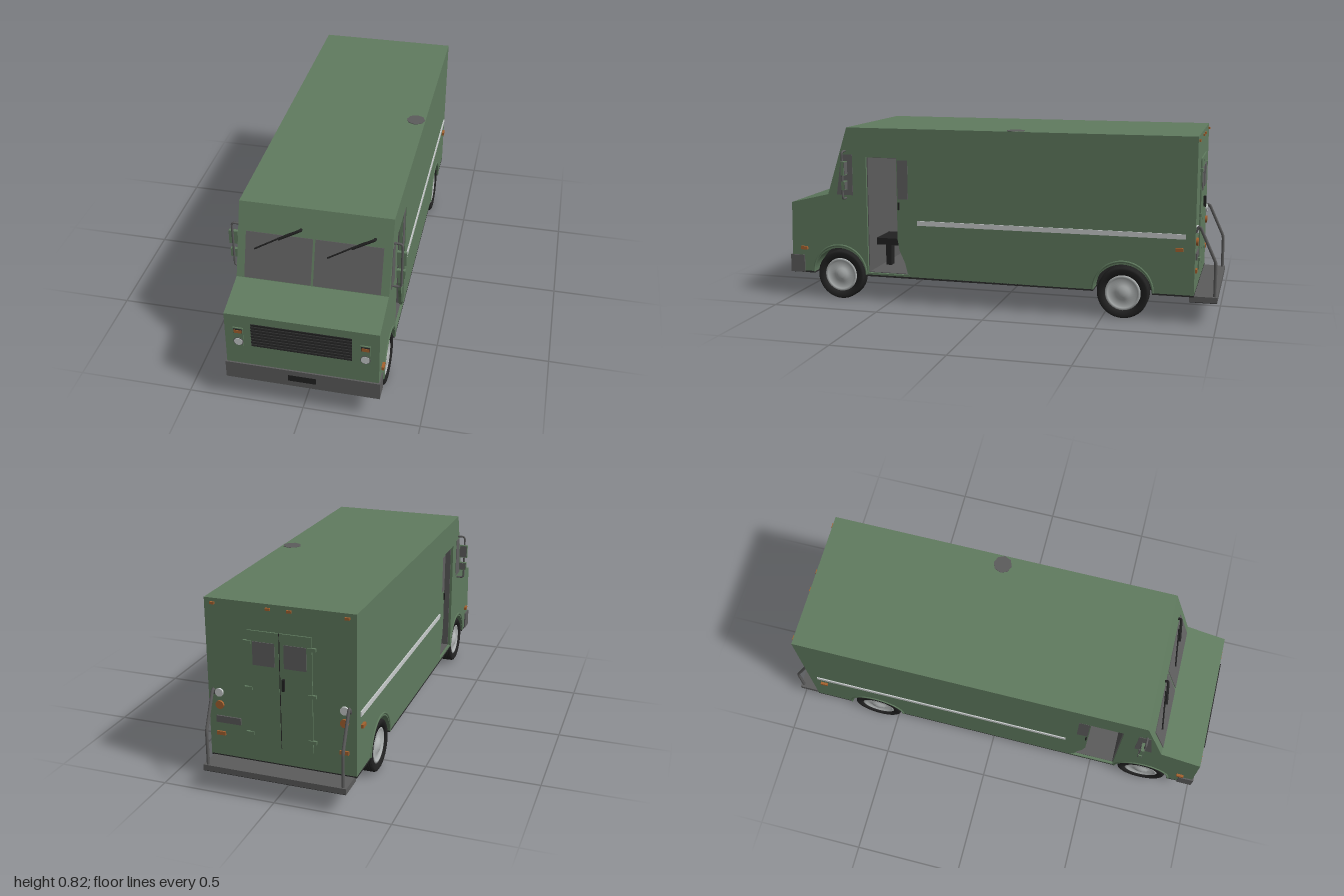
import * as THREE from 'three';

const mat = (name, color) => {
  const m = new THREE.MeshStandardMaterial({ color });
  m.name = name;
  return m;
};

export function createModel() {
  const root = new THREE.Group();
  root.name = 'stepVan';
  const green = mat('bodyGreen', 0x607b5f), gray = mat('trimGray', 0x5c5c5c), glass = mat('windowGray', 0x606060);
  const dark = mat('undersideDark', 0x2b2b2b), black = mat('rubberBlack', 0x222222);
  const silver = mat('hubSilver', 0xb4b8b8), orange = mat('lampOrange', 0xa5622f), light = mat('lampLight', 0xc8cccc);

  const add = (name, geo, m, parent = root) => {
    const mesh = new THREE.Mesh(geo, m);
    mesh.name = name;
    parent.add(mesh);
    return mesh;
  };
  // Box given by its min and max on each axis
  const box = (name, m, x0, x1, y0, y1, z0, z1, parent = root) => {
    const mesh = add(name, new THREE.BoxGeometry(x1 - x0, y1 - y0, z1 - z0), m, parent);
    mesh.position.set((x0 + x1) / 2, (y0 + y1) / 2, (z0 + z1) / 2);
    return mesh;
  };
  // Side outline in (z, y), extruded from x0 to x1
  const sideExtrude = (shape, x0, x1) =>
    new THREE.ExtrudeGeometry(shape, { depth: x1 - x0, bevelEnabled: false, curveSegments: 20 })
      .rotateY(-Math.PI / 2).translate(x1, 0, 0);
  const poly = pts => new THREE.Shape(pts.map(p => new THREE.Vector2(...p)));
  const tube = (name, pts, r, m, parent = root) => {
    const path = new THREE.CurvePath();
    const v = pts.map(p => new THREE.Vector3(...p));
    for (let i = 1; i < v.length; i++) {
      const a = i > 1 ? v[i - 1].clone().lerp(v[i], Math.min(0.3, 0.015 / v[i].distanceTo(v[i - 1]))) : v[0];
      const last = i === v.length - 1;
      const b = last ? v[i] : v[i].clone().lerp(v[i - 1], Math.min(0.3, 0.015 / v[i].distanceTo(v[i - 1])));
      path.add(new THREE.LineCurve3(a, b));
      if (!last) {
        const c = v[i].clone().lerp(v[i + 1], Math.min(0.3, 0.015 / v[i].distanceTo(v[i + 1])));
        path.add(new THREE.QuadraticBezierCurve3(b, v[i], c));
      }
    }
    return add(name, new THREE.TubeGeometry(path, 48, r, 8), m, parent);
  };
  const disc = (name, m, r, depth, x, y, z) => {
    const d = add(name, new THREE.CylinderGeometry(r, r, depth, 20).rotateX(Math.PI / 2), m);
    d.position.set(x, y, z);
  };

  const W = 0.322, AXLES = [-0.59, 0.75], AY = 0.115, AR = 0.13, A0 = 0.077;

  // Body shell with wheel arches and a doorway through the cab
  const shape = new THREE.Shape();
  shape.moveTo(-0.9, 0.125);
  for (const z of AXLES) {
    shape.lineTo(z - AR * Math.cos(A0), 0.125);
    shape.absarc(z, AY, AR, Math.PI - A0, A0, true);
  }
  [[0.995, 0.125], [0.987, 0.455], [0.8, 0.5], [0.7, 0.815], [-0.9, 0.815]].forEach(p => shape.lineTo(...p));
  shape.closePath();
  shape.holes.push(new THREE.Path([[0.402, 0.135], [0.402, 0.68], [0.608, 0.68], [0.608, 0.135]]
    .map(p => new THREE.Vector2(...p))));
  add('body', sideExtrude(shape, -W, W), green);

  // Cab lining
  box('cabRearWall', gray, -0.31, 0.31, 0.135, 0.68, 0.401, 0.406);
  box('cabFrontWall', gray, -0.31, 0.31, 0.135, 0.68, 0.604, 0.609);
  box('cabFloor', gray, -0.31, 0.31, 0.134, 0.138, 0.402, 0.608);
  box('cabCeiling', gray, -0.31, 0.31, 0.677, 0.681, 0.402, 0.608);
  // Driver seat
  box('seatCushion', black, 0.06, 0.22, 0.25, 0.282, 0.49, 0.604);
  const back = box('seatBack', gray, 0.06, 0.22, 0.27, 0.46, 0.46, 0.48);
  back.rotation.x = -0.12;
  box('seatPost', black, 0.12, 0.16, 0.138, 0.25, 0.555, 0.582);

  // Underside and wheel wells
  [[-0.9, -0.72], [-0.46, 0.62], [0.88, 0.985]].forEach(([a, b]) => box('underside', dark, -W, W, 0.118, 0.126, a, b));
  AXLES.forEach(z => box('wheelWell', dark, -0.245, 0.245, 0.118, 0.25, z - 0.135, z + 0.135));

  // Wheels
  const tyre = [[0.08, -0.026], [0.105, -0.032], [0.113, -0.026]];
  for (let i = -2; i <= 2; i++) tyre.push([0.115, i * 0.01 - 0.003], [0.115, i * 0.01 + 0.003], [0.111, i * 0.01 + 0.004], [0.111, i * 0.01 + 0.006]);
  tyre.push([0.113, 0.027], [0.105, 0.032], [0.08, 0.026], [0.078, -0.02], [0.08, -0.026]);
  const tyreGeo = new THREE.LatheGeometry(tyre.map(p => new THREE.Vector2(...p)), 40);
  const hubGeo = new THREE.LatheGeometry([[0, -0.02], [0.079, -0.02], [0.079, 0.024], [0.068, 0.026], [0.062, 0.016],
    [0.034, 0.02], [0.03, 0.026], [0.018, 0.026], [0.016, 0.03], [0, 0.03]].map(p => new THREE.Vector2(...p)), 32);
  for (const s of [-1, 1]) for (const z of AXLES) {
    const wheel = new THREE.Group();
    wheel.name = 'wheel';
    wheel.position.set(s * 0.288, AY, z);
    wheel.rotation.z = -s * Math.PI / 2;
    add('tyre', tyreGeo, black, wheel);
    add('hub', hubGeo, silver, wheel);
    root.add(wheel);
    // Arch lip
    const lip = add('archLip', new THREE.TorusGeometry(0.133, 0.005, 6, 28, Math.PI).rotateY(Math.PI / 2), green);
    lip.position.set(s * W, AY + 0.01, z);
  }

  // Sloping windshield, wipers on the same plane
  const screen = new THREE.Group();
  screen.name = 'windshield';
  screen.position.set(0, 0.5, 0.8);
  screen.rotation.x = -Math.atan2(0.1, 0.315);
  root.add(screen);
  for (const s of [-1, 1]) {
    box('windshieldPane', glass, s > 0 ? 0.005 : -0.288, s > 0 ? 0.288 : -0.005, 0.003, 0.205, -0.002, 0.003, screen);
    const x = s > 0 ? 0.25 : -0.056;
    tube('wiperArm', [[x, 0.24, 0.004], [x, 0.24, 0.018], [x - 0.09, 0.193, 0.02]], 0.006, black, screen);
    tube('wiperBlade', [[x - 0.04, 0.222, 0.012], [x - 0.19, 0.136, 0.012]], 0.0035, black, screen);
  }

  // Front grille, headlamps and bumper
  box('grille', black, -0.21, 0.21, 0.303, 0.418, 0.98, 0.992);
  for (let i = 0; i < 7; i++) box('grilleBar', dark, -0.21, 0.21, 0.309 + i * 0.0155, 0.317 + i * 0.0155, 0.988, 0.997);
  box('bumper', gray, -0.328, 0.328, 0.12, 0.203, 0.93, 1);
  box('platePanel', black, -0.06, 0.06, 0.147, 0.178, 0.99, 1.003).position.z = 0.994;
  for (const s of [-1, 1]) {
    const cx = s * 0.265;
    box('lampBezel', green, cx - 0.021, cx + 0.021, 0.297, 0.392, 0.98, 0.994);
    box('lampRecess', dark, cx - 0.018, cx + 0.018, 0.366, 0.388, 0.985, 0.995);
    box('turnSignal', orange, cx - 0.016, cx + 0.016, 0.367, 0.382, 0.985, 0.997);
    disc('headlampRing', gray, 0.021, 0.01, cx, 0.321, 0.99);
    disc('headlamp', light, 0.018, 0.01, cx, 0.321, 0.992);
  }

  // Paired side details
  for (const s of [-1, 1]) {
    const span = (a, b) => s > 0 ? [a, b] : [-b, -a];
    box('sideStripe', light, ...span(0.32, 0.327), 0.372, 0.394, -0.86, 0.36);
    box('frontMarker', orange, ...span(0.32, 0.333), 0.231, 0.246, 0.912, 0.945);
    box('rearMarker', orange, ...span(0.32, 0.333), 0.318, 0.333, -0.85, -0.817);
    add('quarterWindow', sideExtrude(poly([[0.675, 0.5], [0.755, 0.5], [0.728, 0.69], [0.675, 0.69]]), ...span(0.319, 0.324)), glass);
    // Folded door panel with its window
    add('doorPanel', sideExtrude(poly([[0.402, 0.136], [0.412, 0.136], [0.425, 0.19], [0.452, 0.25], [0.46, 0.3], [0.46, 0.679], [0.402, 0.679]]),
      ...span(0.304, 0.318)), green);
    box('doorWindow', glass, ...span(0.303, 0.32), 0.49, 0.67, 0.406, 0.456);
    box('doorHandle', black, ...span(0.316, 0.325), 0.44, 0.475, 0.448, 0.455);
    // Mirror frame with two mirrors
    tube('mirrorArm', [[s * 0.315, 0.706, 0.71], [s * 0.358, 0.706, 0.71], [s * 0.358, 0.486, 0.71], [s * 0.315, 0.486, 0.71]], 0.005, gray);
    box('upperMirror', green, ...span(0.336, 0.375), 0.598, 0.662, 0.695, 0.71);
    box('lowerMirror', green, ...span(0.336, 0.372), 0.53, 0.57, 0.695, 0.71);
    box('mirrorFace', glass, ...span(0.339, 0.372), 0.602, 0.658, 0.693, 0.696);
    box('lowerMirrorFace', glass, ...span(0.339, 0.369), 0.533, 0.567, 0.693, 0.696);

    // Rear grab rail and lamps
    tube('grabRail', [[s * 0.295, 0.4, -0.895], [s * 0.295, 0.43, -0.915], [s * 0.295, 0.27, -0.988], [s * 0.295, 0.11, -0.988]], 0.007, gray);
    disc('reverseLamp', light, 0.018, 0.014, s * 0.272, 0.41, -0.902);
    disc('tailLamp', orange, 0.018, 0.014, s * 0.272, 0.355, -0.902);
    box('rearReflector', orange, ...span(0.252, 0.29), 0.218, 0.234, -0.908, -0.895);
    box('roofMarker', orange, ...span(0.275, 0.295), 0.79, 0.8, -0.908, -0.895);
    box('centreMarker', orange, ...span(0.035, 0.055), 0.79, 0.8, -0.908, -0.895);

    // Rear door leaf
    box('rearDoor', green, ...span(0.002, 0.138), 0.2, 0.7, -0.906, -0.895);
    box('rearDoorWindow', glass, ...span(0.02, 0.115), 0.555, 0.655, -0.909, -0.9);
    for (const y of [0.25, 0.45, 0.65]) box('hinge', green, ...span(0.12, 0.155), y - 0.007, y + 0.007, -0.911, -0.9);
  }
  box('doorSeam', dark, -0.002, 0.002, 0.2, 0.7, -0.905, -0.895);
  box('rearHandle', black, -0.022, -0.012, 0.46, 0.51, -0.918, -0.9);
  box('licencePanel', gray, 0.18, 0.29, 0.275, 0.305, -0.906, -0.895);

  // Rear step
  box('rearStep', gray, -0.312, 0.312, 0.095, 0.12, -1, -0.88);
  box('stepUnderside', dark, -0.31, 0.31, 0.092, 0.096, -0.998, -0.882);

  // Roof patch
  add('roofPatch', new THREE.CylinderGeometry(0.042, 0.042, 0.004, 8), gray).position.set(0.278, 0.815, -0.095);
  return root;
}
